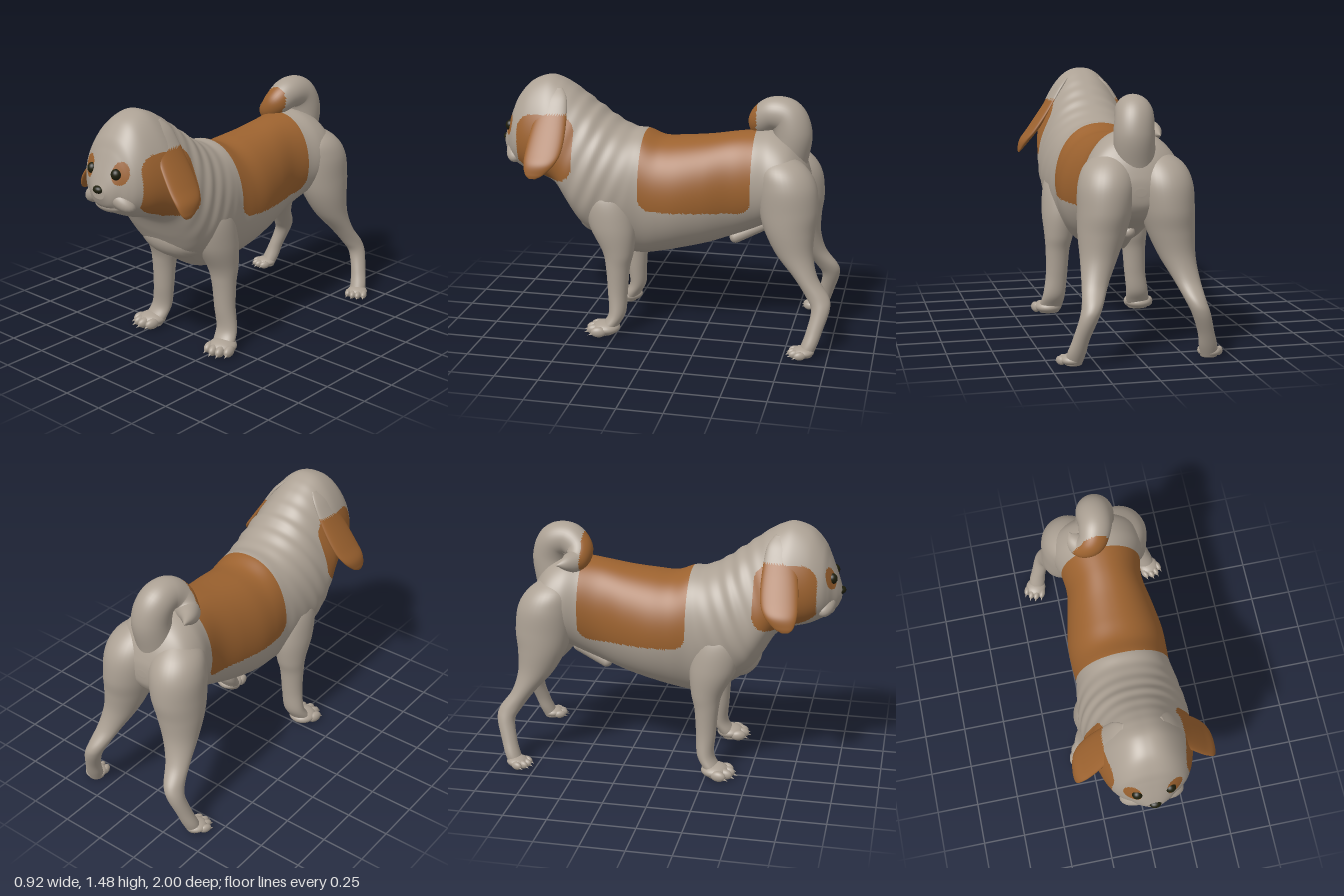
import * as THREE from 'three';

const mat = (name, color) => {
  const m = new THREE.MeshStandardMaterial({ color });
  m.name = name;
  return m;
};

// Catmull-Rom through rows of numbers, `steps` samples per interval
function smoothRows(rows, steps) {
  const out = [], n = rows.length - 1;
  for (let i = 0; i < n; i++) {
    const a = rows[Math.max(i - 1, 0)], b = rows[i], c = rows[i + 1], d = rows[Math.min(i + 2, n)];
    for (let s = 0; s < steps; s++) {
      const t = s / steps;
      out.push(b.map((v, k) => v + 0.5 * t * (c[k] - a[k] +
        t * (2 * a[k] - 5 * v + 4 * c[k] - d[k] + t * (3 * (v - c[k]) + d[k] - a[k])))));
    }
  }
  out.push(rows[n]);
  return out;
}

// Sorts faces into two material groups; patch(x, y, z) picks the second
function paint(g, patch) {
  const lists = [[], []], index = g.index.array, p = g.attributes.position;
  for (let i = 0; i < index.length; i += 3) {
    const f = [index[i], index[i + 1], index[i + 2]];
    const mid = ['getX', 'getY', 'getZ'].map(get => (p[get](f[0]) + p[get](f[1]) + p[get](f[2])) / 3);
    lists[patch(...mid) ? 1 : 0].push(...f);
  }
  g.setIndex([...lists[0], ...lists[1]]);
  g.addGroup(0, lists[0].length, 0);
  g.addGroup(lists[0].length, lists[1].length, 1);
  return g;
}

// Closed skin over rings; point(row, angle, scale) gives a corner
function loft(rows, steps, sides, point) {
  const rings = smoothRows(rows, steps);
  const list = [[rings[0], 0], ...rings.map(r => [r, 1]), [rings[rings.length - 1], 0]];
  const pos = [], index = [];
  for (const [row, k] of list)
    for (let j = 0; j < sides; j++) pos.push(...point(row, j / sides * Math.PI * 2, k));
  for (let i = 0; i < list.length - 1; i++)
    for (let j = 0; j < sides; j++) {
      const a = i * sides + j, d = i * sides + (j + 1) % sides, b = a + sides, c = d + sides;
      index.push(a, b, d, b, c, d);
    }
  const g = new THREE.BufferGeometry();
  g.setAttribute('position', new THREE.Float32BufferAttribute(pos, 3));
  g.setIndex(index);
  g.computeVertexNormals();
  return g;
}

// Horizontal ring for limbs and ears: [x, y, z, radius x, radius z], listed from the top down
const limbPoint = ([x, y, z, rx, rz], t, k) => [x + Math.cos(t) * rx * k, y, z - Math.sin(t) * rz * k];

// Upright ring for the trunk: [z, top, bottom, half width, how pear shaped], with neck folds
const trunkPoint = ([z, top, bottom, w, pear], t, k) => {
  const s = Math.sin(t), c = Math.cos(t), { smoothstep } = THREE.MathUtils;
  const y = (top + bottom) / 2 + s * (top - bottom) / 2 * k;
  const fold = Math.max(0, 1 - Math.abs(z - 0.38) / 0.22) * smoothstep(y, 0.65, 0.85) * 0.005 *
    Math.sin((z + 0.45 * y) * 60);
  const x = Math.sign(c) * Math.abs(c) ** (0.92 - 0.12 * smoothstep(z, 0.3, 0.6)) * w * (1 - pear * s);
  return [x * k * (1 + fold * 3), y + fold * s, z];
};

const inRoundRect = (u, v, cu, cv, hu, hv, r) => {
  const a = Math.max(Math.abs(u - cu) - hu + r, 0), b = Math.max(Math.abs(v - cv) - hv + r, 0);
  return a * a + b * b < r * r;
};

// Saddle, cheek and eye patches
const trunkPatch = (x, y, z) =>
  inRoundRect(z, y, -0.2, 1.26, 0.32, 0.5, 0.08) ||
  (Math.abs(x) > 0.185 && inRoundRect(z, y, 0.675, 1.095, 0.175, 0.185, 0.1)) ||
  (z > 0.8 && ((Math.abs(x) - 0.115) / 0.046) ** 2 + ((y - 1.19) / 0.062) ** 2 < 1);

export function createModel() {
  const model = new THREE.Group();
  model.name = 'dog';
  const coat = mat('greyCoat', 0xaca194);
  const brown = mat('brownPatch', 0x9c622f);
  const dark = mat('darkEyeAndNose', 0x1e1e0c);
  const furs = [coat, brown];

  const add = (parent, name, geometry, material, p = [0, 0, 0], s = [1, 1, 1]) => {
    const m = new THREE.Mesh(geometry, material);
    m.name = name;
    m.position.set(...p);
    m.scale.set(...s);
    parent.add(m);
    return m;
  };
  const ball = new THREE.SphereGeometry(1, 28, 18);

  // Head, neck, chest and rump in one skin
  add(model, 'trunkAndHead', paint(loft([
    [0.975, 1.11, 1.04, 0.045, 0], [0.955, 1.17, 1.0, 0.085, 0.05], [0.93, 1.235, 0.975, 0.12, 0.08],
    [0.905, 1.295, 0.955, 0.16, 0.12], [0.87, 1.365, 0.935, 0.198, 0.16], [0.8, 1.44, 0.905, 0.232, 0.24],
    [0.7, 1.475, 0.88, 0.258, 0.3], [0.62, 1.455, 0.835, 0.275, 0.32], [0.55, 1.415, 0.72, 0.288, 0.3],
    [0.48, 1.365, 0.61, 0.298, 0.24], [0.4, 1.305, 0.54, 0.305, 0.14], [0.3, 1.235, 0.47, 0.3, 0.03],
    [0.2, 1.187, 0.44, 0.288, -0.05], [0.12, 1.18, 0.435, 0.275, -0.06], [0.02, 1.145, 0.455, 0.28, -0.03],
    [-0.1, 1.15, 0.485, 0.28, 0], [-0.25, 1.165, 0.525, 0.255, 0], [-0.4, 1.19, 0.58, 0.225, 0],
    [-0.52, 1.205, 0.63, 0.235, 0], [-0.62, 1.21, 0.68, 0.265, 0.05], [-0.72, 1.17, 0.72, 0.265, 0.1],
    [-0.79, 1.08, 0.76, 0.21, 0.1], [-0.83, 0.98, 0.82, 0.12, 0], [-0.84, 0.92, 0.88, 0.03, 0],
  ], 10, 176, trunkPoint), trunkPatch), furs);

  // Nose, chin, chest fold and belly
  add(model, 'nose', ball, dark, [0, 1.092, 0.972], [0.033, 0.022, 0.026]);
  add(model, 'chin', ball, coat, [0, 0.99, 0.895], [0.1, 0.04, 0.05]);
  add(model, 'chestFold', ball, coat, [0, 0.685, 0.405], [0.24, 0.13, 0.125]);
  const sheath = add(model, 'bellySheath', new THREE.CapsuleGeometry(0.035, 0.19, 8, 18), coat, [0, 0.6, -0.49]);
  sheath.rotation.x = -1.08;

  // Curled tail: a tube with its radius changed along the way
  const tailPath = new THREE.CatmullRomCurve3([
    [0, 1.04, -0.7], [0.01, 1.2, -0.727], [0, 1.29, -0.69], [-0.01, 1.305, -0.61],
    [-0.04, 1.255, -0.545], [-0.09, 1.2, -0.55], [-0.135, 1.19, -0.6], [-0.155, 1.18, -0.66],
  ].map(p => new THREE.Vector3(...p)));
  const tailRadii = smoothRows([[0.115], [0.112], [0.11], [0.106], [0.098], [0.086], [0.072], [0.06], [0.001]], 10);
  const n = tailRadii.length - 1, around = 40;
  const tailGeo = new THREE.TubeGeometry(tailPath, n, 1, around);
  const tp = tailGeo.attributes.position, v = new THREE.Vector3();
  for (let i = 0; i <= n; i++) {
    const c = tailPath.getPointAt(i / n);
    for (let j = 0; j <= around; j++) {
      const k = i * (around + 1) + j;
      v.fromBufferAttribute(tp, k).sub(c).multiplyScalar(tailRadii[i][0]).add(c);
      tp.setXYZ(k, v.x, v.y, v.z);
    }
  }
  add(model, 'curledTail', paint(tailGeo, (x, y, z) => z > -0.52), furs);

  // Paw with four toes and claws, pointing along +z before turning
  const addPaw = (parent, name, x, z, turn, size) => {
    const paw = new THREE.Group();
    paw.name = name;
    paw.position.set(x, 0, z);
    paw.rotation.y = turn;
    paw.scale.setScalar(size);
    parent.add(paw);
    add(paw, 'pad', ball, coat, [0, 0.04, 0.01], [0.08, 0.04, 0.08]);
    for (let i = 0; i < 4; i++) {
      const u = i - 1.5, tz = 0.08 - 0.012 * u * u;
      add(paw, 'toe', ball, coat, [u * 0.042, 0.032, tz], [0.025, 0.031, 0.045]);
      const claw = add(paw, 'claw', new THREE.ConeGeometry(0.01, 0.035, 8), coat, [u * 0.045, 0.02, tz + 0.046]);
      claw.rotation.x = 1.9;
    }
  };

  // Paired parts, built on the left and mirrored
  for (const side of [1, -1]) {
    const half = new THREE.Group();
    half.name = side > 0 ? 'leftSide' : 'rightSide';
    half.scale.x = side;
    model.add(half);

    add(half, 'eye', ball, dark, [0.09, 1.182, 0.924], [0.03, 0.031, 0.029]);
    add(half, 'flew', ball, coat, [0.075, 1.045, 0.885], [0.115, 0.055, 0.065]).rotation.z = -0.5;

    add(half, 'ear', paint(loft([
      [0.1, 1.42, 0.63, 0.01, 0.03], [0.148, 1.36, 0.635, 0.024, 0.075], [0.232, 1.22, 0.645, 0.03, 0.1],
      [0.312, 1.1, 0.655, 0.03, 0.105], [0.362, 1.03, 0.67, 0.028, 0.09], [0.388, 0.975, 0.69, 0.013, 0.055],
      [0.395, 0.95, 0.7, 0.004, 0.02],
    ], 10, 36, limbPoint), (x, y) => y < 1.285), furs);

    add(half, 'frontLeg', loft([
      [0.18, 0.96, 0.34, 0.03, 0.05], [0.205, 0.82, 0.315, 0.095, 0.13], [0.22, 0.65, 0.28, 0.105, 0.135],
      [0.23, 0.5, 0.245, 0.087, 0.092], [0.238, 0.4, 0.245, 0.072, 0.07], [0.245, 0.25, 0.245, 0.065, 0.058],
      [0.26, 0.13, 0.245, 0.067, 0.05], [0.272, 0.06, 0.28, 0.07, 0.05], [0.28, 0.005, 0.31, 0.06, 0.05],
    ], 7, 36, limbPoint), coat);
    addPaw(half, 'frontPaw', 0.283, 0.297, 0.22, 1.02);

    add(half, 'hindLeg', loft([
      [0.12, 1.12, -0.66, 0.03, 0.04], [0.145, 1.04, -0.69, 0.12, 0.13], [0.158, 0.94, -0.72, 0.153, 0.165],
      [0.172, 0.8, -0.735, 0.147, 0.167], [0.19, 0.68, -0.745, 0.13, 0.143], [0.215, 0.55, -0.78, 0.1, 0.105],
      [0.25, 0.43, -0.85, 0.072, 0.068], [0.28, 0.33, -0.922, 0.056, 0.066], [0.305, 0.26, -0.945, 0.05, 0.052],
      [0.34, 0.15, -0.92, 0.045, 0.045], [0.36, 0.07, -0.895, 0.05, 0.045], [0.372, 0.005, -0.868, 0.045, 0.045],
    ], 7, 36, limbPoint), coat);
    addPaw(half, 'hindPaw', 0.375, -0.87, 0.4, 0.78);
  }
  return model;
}
